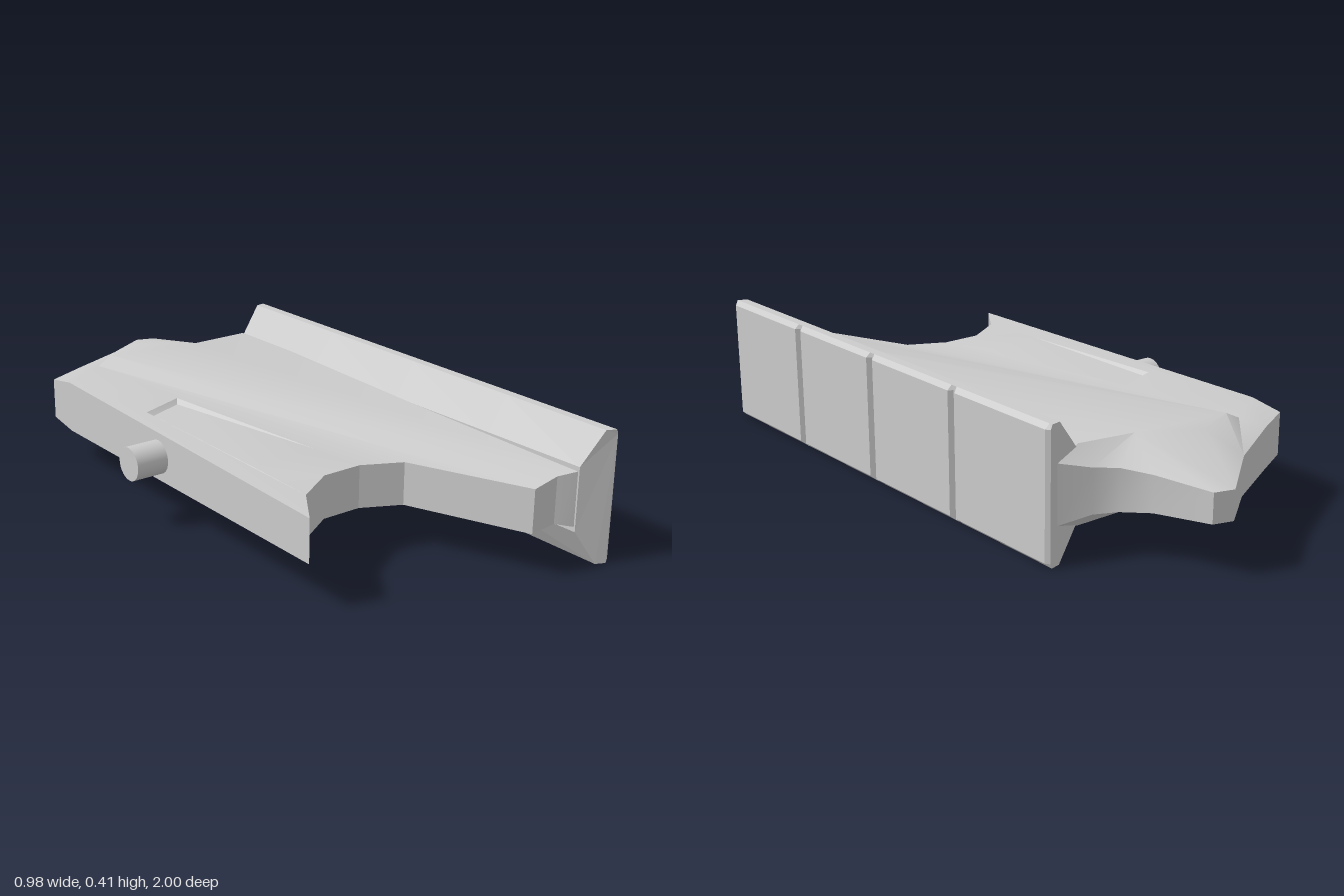
import * as THREE from 'three';
import { toCreasedNormals } from 'three/addons/utils/BufferGeometryUtils.js';

const MID = 0.208; // height of the horizontal mirror plane
const material = new THREE.MeshStandardMaterial({ color: 0xcccccc });

function meshFrom(name, positions, crease) {
  const g = new THREE.BufferGeometry();
  g.setAttribute('position', new THREE.Float32BufferAttribute(positions, 3));
  g.computeVertexNormals();
  const mesh = new THREE.Mesh(crease ? toCreasedNormals(g, crease) : g, material);
  mesh.name = name;
  mesh.position.y = MID;
  return mesh;
}

// Corner points of the upper half of the body: x, height above the mid plane, z
const P = {
  a: [-0.37, 0.085, -0.6], b: [-0.37, 0.067, -0.71], c: [-0.24, 0.067, -0.77],
  d: [-0.03, 0.06, -0.875], e: [0.14, 0.045, -1], f: [0.2, 0.045, -0.98],
  g: [0.25, 0.055, -0.81], h: [0.3, 0.064, -0.73], i: [0.36, 0.068, -0.69],
  j: [0.45, 0.09, -0.65],
  k: [0.45, 0.09, 0.98], l: [0.38, 0.085, 0.95], m: [0.33, 0.073, 0.92],
  n: [0.22, 0.068, 0.94], o: [0.07, 0.067, 0.57], p: [-0.05, 0.067, 0.51],
  q: [-0.18, 0.067, 0.51], r: [-0.31, 0.067, 0.59], s: [-0.4, 0.067, 0.72],
  // inner ridge points
  A: [-0.2, 0.085, -0.7], B: [-0.145, 0.112, -0.7], C: [0, 0.112, -0.755],
  D: [0.17, 0.112, -0.65], E: [0.36, 0.12, -0.63],
  // pocket rim and floor
  K: [-0.31, 0.072, 0.35], L: [-0.315, 0.08, -0.21],
  M: [-0.165, 0.081, -0.265], N: [-0.08, 0.072, 0.34],
  X: [-0.303, 0.068, -0.195], Y: [-0.178, 0.068, -0.245],
};
const OUTLINE = 'abcdefghijklmnopqrs';
// Faces of the upper half, "|" marks a hole
const FACES = ['acAopqrs|KLMN', 'abc', 'cABCd', 'dCDe', 'eDf', 'fDg', 'gDh', 'hDEi',
  'iEj', 'jElk', 'ABno', 'BCDElmn', 'KXYN', 'KLX', 'LMYX', 'MNY'];

function makeBody() {
  const out = [];
  for (const face of FACES) {
    const [rim, hole] = face.split('|').map((s) => [...s].map((ch) => P[ch]));
    const flat = (list) => list.map(([x, , z]) => new THREE.Vector2(x, z));
    const all = hole ? rim.concat(hole) : rim;
    for (const t of THREE.ShapeUtils.triangulateShape(flat(rim), hole ? [flat(hole)] : [])) {
      let [u, v, w] = t.map((n) => all[n]);
      const up = (v[2] - u[2]) * (w[0] - u[0]) - (v[0] - u[0]) * (w[2] - u[2]);
      if (up < 0) [v, w] = [w, v];
      out.push(...u, ...v, ...w);
      for (const [x, y, z] of [u, w, v]) out.push(x, -y, z); // mirrored underside
    }
  }
  // side walls around the outline
  [...OUTLINE].forEach((ch, n) => {
    const u = P[ch], v = P[OUTLINE[(n + 1) % OUTLINE.length]];
    const low = ([x, y, z]) => [x, -y, z];
    out.push(...u, ...v, ...low(v), ...u, ...low(v), ...low(u));
  });
  return meshFrom('body', out, 0.45);
}

// Flared rail with four face plates, lofted along z through the grooves
function makeRail() {
  const stations = [[-0.655, 0.478], [-0.643, 0.488]];
  for (const z of [-0.235, 0.175, 0.585]) {
    stations.push([z - 0.016, 0.488], [z - 0.007, 0.473], [z + 0.007, 0.473], [z + 0.016, 0.488]);
  }
  stations.push([0.988, 0.488], [1, 0.478]);
  const last = stations.length - 1;
  const rings = stations.map(([z, outer], n) => {
    const foot = 0.36 + 0.02 * (z + 0.65) / 1.6;
    const skew = n === 0 ? -0.2 : n === last ? 0.5 : n === 1 ? -0.15 : n === last - 1 ? 0.4 : 0;
    const half = [[outer, 0.192], [0.473, 0.206], [0.443, 0.206], [foot, 0.1]];
    const ring = half.concat(half.map(([x, y]) => [x, -y]).reverse());
    return ring.map(([x, y]) => [x, y, z + skew * Math.min(0, x - 0.47)]);
  });
  const out = [];
  const size = rings[0].length;
  for (let s = 0; s < last; s++) {
    for (let n = 0; n < size; n++) {
      const m = (n + 1) % size, p = rings[s], q = rings[s + 1];
      out.push(...p[n], ...p[m], ...q[m], ...p[n], ...q[m], ...q[n]);
    }
  }
  for (let n = 1; n < size - 1; n++) {
    out.push(...rings[last][0], ...rings[last][n], ...rings[last][n + 1]);
    out.push(...rings[0][0], ...rings[0][n + 1], ...rings[0][n]);
  }
  return meshFrom('platedRail', out);
}

export function createModel() {
  const model = new THREE.Group();
  model.name = 'model';
  model.add(makeBody(), makeRail());

  // Round pivot pin on the straight side
  const pin = new THREE.Mesh(new THREE.CylinderGeometry(0.053, 0.053, 0.14, 28), material);
  pin.name = 'pivotPin';
  pin.rotation.z = Math.PI / 2;
  pin.position.set(-0.42, MID, -0.04);
  model.add(pin);
  return model;
}
